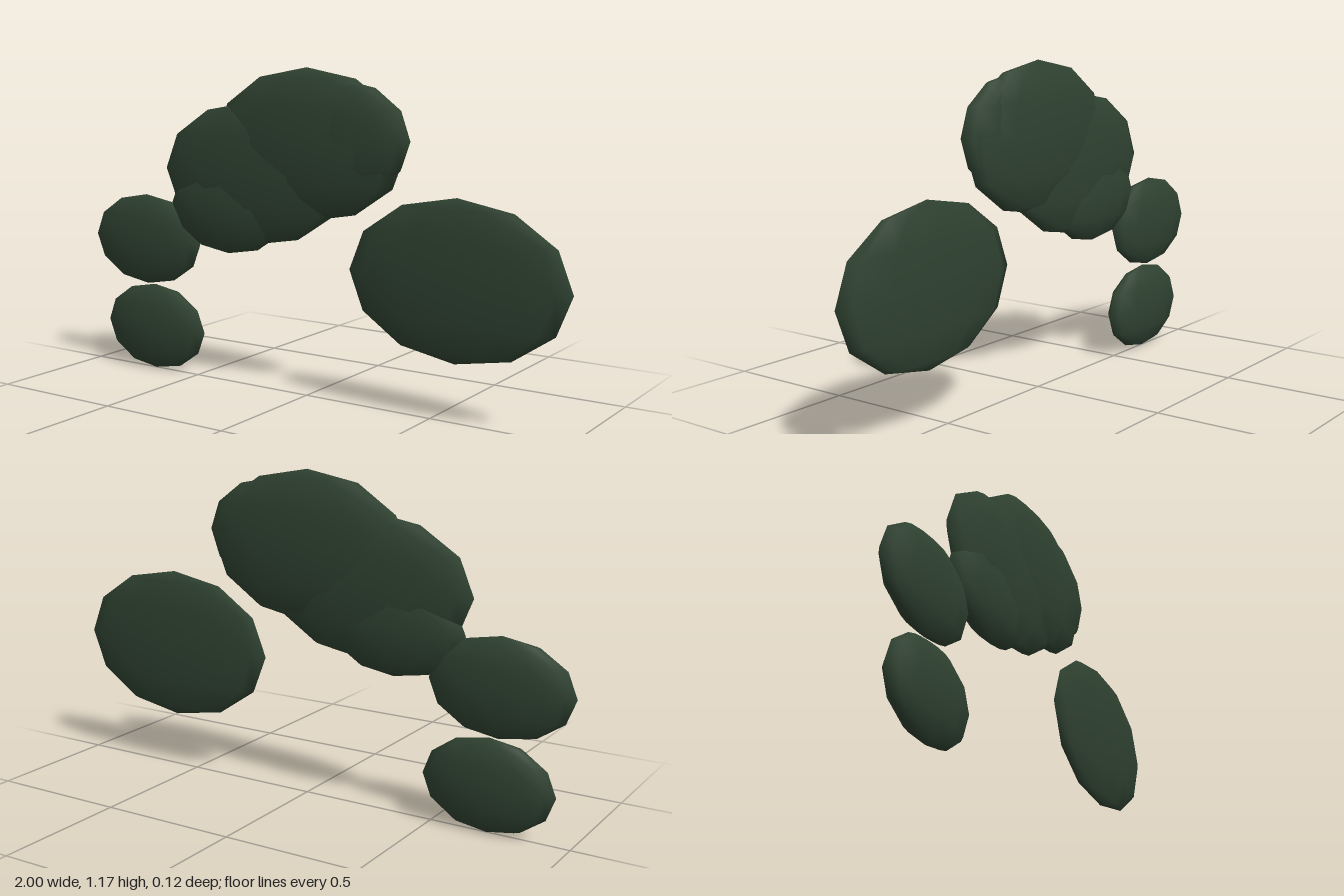
import * as THREE from 'three';

export function createModel() {
  const group = new THREE.Group();
  const darkGreen = new THREE.MeshStandardMaterial({ color: 0x2f4231 });
  darkGreen.name = 'dark green';

  // One coarse, smooth sphere is flattened into every leafy pad
  const sphere = new THREE.SphereGeometry(1, 12, 6);

  // name, centre [x, y, z], half sizes [x, y, z]
  const pads = [
    ['lowerLeftPad', [-0.705, 0.165, 0], [0.24, 0.165, 0.052]],
    ['upperLeftPad', [-0.74, 0.503, 0], [0.26, 0.173, 0.05]],
    ['underPad', [-0.345, 0.655, 0.003], [0.265, 0.17, 0.055]],
    ['middlePad', [-0.235, 0.785, 0.003], [0.4, 0.258, 0.055]],
    ['crownPad', [0, 0.9, 0], [0.4, 0.268, 0.06]],
    ['crownSidePad', [0.145, 0.93, 0.004], [0.27, 0.2, 0.05]],
    ['rightPad', [0.588, 0.478, 0], [0.41, 0.277, 0.044]],
  ];

  for (const [name, centre, halfSize] of pads) {
    const pad = new THREE.Mesh(sphere, darkGreen);
    pad.name = name;
    pad.position.set(...centre);
    pad.scale.set(...halfSize);
    group.add(pad);
  }

  return group;
}
